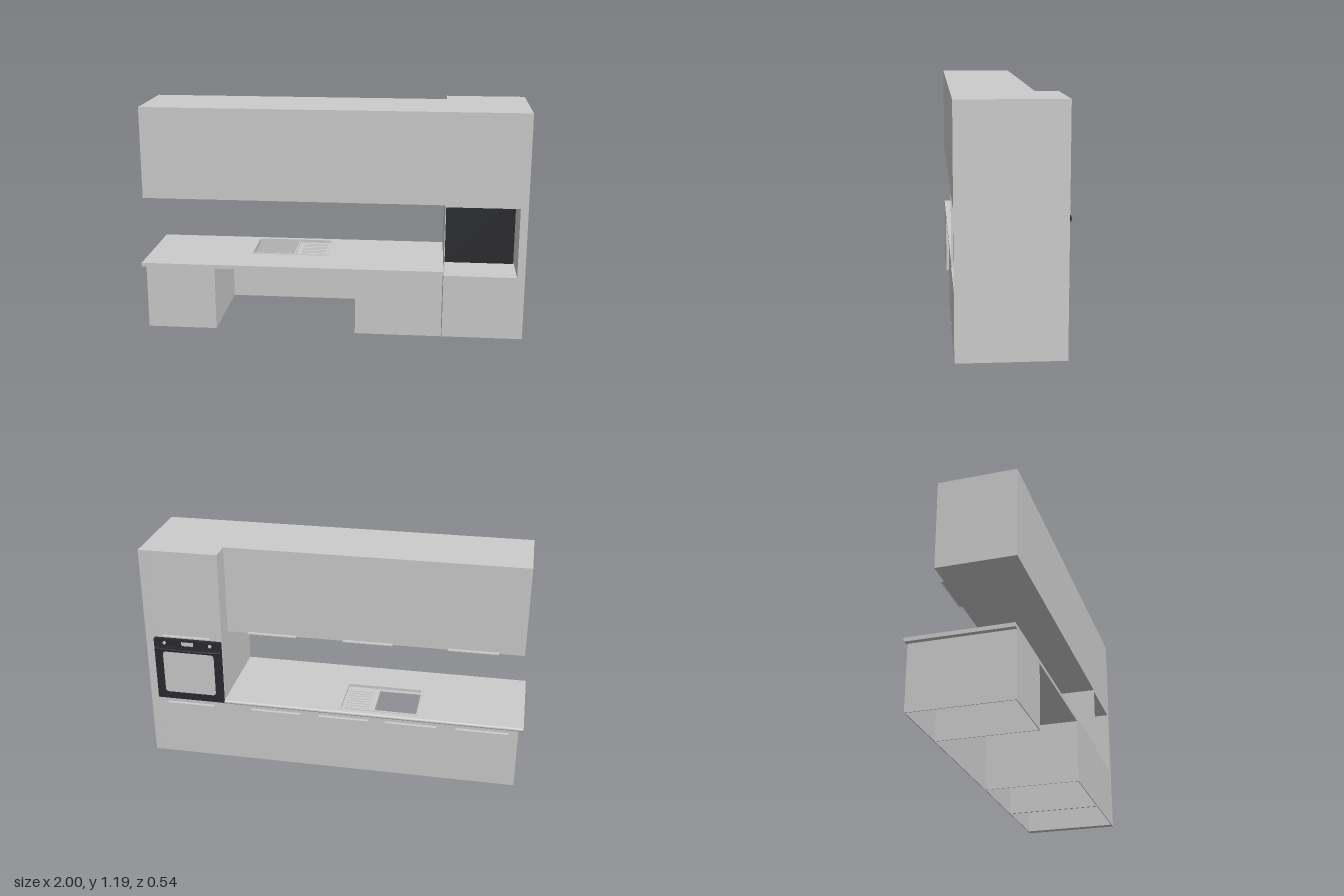
import * as THREE from 'three';

const grey = new THREE.MeshStandardMaterial({ color: 0xcccccc, side: THREE.DoubleSide });
const black = new THREE.MeshStandardMaterial({ color: 0x2a2b2f });

export function createModel() {
  const root = new THREE.Group();

  const add = (parent, name, geometry, material = grey) => {
    const mesh = new THREE.Mesh(geometry, material);
    mesh.name = name;
    parent.add(mesh);
    return mesh;
  };
  // Box given by its limits on each axis
  const box = (parent, name, x0, x1, y0, y1, z0, z1, material = grey) => {
    const mesh = add(parent, name, new THREE.BoxGeometry(x1 - x0, y1 - y0, z1 - z0), material);
    mesh.position.set((x0 + x1) / 2, (y0 + y1) / 2, (z0 + z1) / 2);
    return mesh;
  };
  const group = (name) => {
    const g = new THREE.Group();
    g.name = name;
    root.add(g);
    return g;
  };
  // Horizontal slab with a rectangular cut-out; rectangles are [x0, x1, z0, z1]
  const slab = (parent, name, outer, hole, y0, y1) => {
    const trace = (path, [x0, x1, z0, z1]) =>
      path.moveTo(x0, -z0).lineTo(x1, -z0).lineTo(x1, -z1).lineTo(x0, -z1).closePath();
    const shape = new THREE.Shape();
    trace(shape, outer);
    const cut = new THREE.Path();
    trace(cut, hole);
    shape.holes.push(cut);
    const geometry = new THREE.ExtrudeGeometry(shape, { depth: y1 - y0, bevelEnabled: false });
    geometry.rotateX(-Math.PI / 2).translate(0, y0, 0);
    return add(parent, name, geometry);
  };
  // Flat pull: a thin shelf with a small turned lip
  const pull = (parent, x0, x1, y, z) => {
    box(parent, 'pullShelf', x0, x1, y - 0.0015, y + 0.0015, z - 0.017, z);
    box(parent, 'pullLip', x0, x1, y - 0.004, y + 0.0015, z - 0.019, z - 0.016);
  };

  const back = 0.27, front = -0.243, t = 0.004;
  const counterY = 0.335, topY = 1.185, tallX = 0.585;

  // Base cabinets: open underneath, the middle bay also open at the rear
  const base = group('baseCabinets');
  box(base, 'doorFronts', -0.975, tallX, 0, counterY, front, front + t);
  box(base, 'endPanel', -0.975, -0.975 + t, 0, counterY, front + t, back);
  box(base, 'partitionRight', -0.61 - t, -0.61, 0, counterY, front + t, back);
  box(base, 'partitionLeft', 0.13, 0.13 + t, 0, counterY, front + t, back);
  box(base, 'partitionTall', tallX - 0.008, tallX - 0.004, 0, counterY, front + t, back);
  box(base, 'backPanelRight', -0.975 + t, -0.61 - t, 0, counterY, back - t, back);
  box(base, 'backPanelLeft', 0.13 + t, tallX - 0.004, 0, counterY, back - t, back);
  for (const x of [-0.925, -0.555, -0.195, 0.17]) pull(base, x, x + 0.27, 0.315, front);

  // Countertop with a rounded front edge
  const counter = group('countertop');
  slab(counter, 'worktop', [-1, tallX, -0.245, back], [-0.445, -0.04, -0.21, 0.05], counterY, 0.355);
  const edge = add(counter, 'roundedEdge',
    new THREE.CylinderGeometry(0.01, 0.01, tallX + 1, 16));
  edge.rotation.z = Math.PI / 2;
  edge.position.set((tallX - 1) / 2, 0.345, -0.245);

  // Sink: rim, open basin and ribbed drainer
  const sink = group('sink');
  slab(sink, 'rim', [-0.452, -0.032, -0.22, 0.06], [-0.443, -0.042, -0.209, 0.049], 0.354, 0.358);
  slab(sink, 'innerWall', [-0.445, -0.04, -0.211, 0.051], [-0.443, -0.042, -0.209, 0.049], 0.333, 0.357);
  box(sink, 'drainer', -0.215, -0.042, 0.338, 0.342, -0.209, 0.049);
  box(sink, 'basinBackLedge', -0.443, -0.215, 0.338, 0.342, 0.03, 0.049);
  box(sink, 'basinDivider', -0.22, -0.213, 0.334, 0.35, -0.209, 0.049);
  for (let i = 0; i < 8; i++) {
    const z = -0.18 + i * 0.026;
    box(sink, 'drainerRib', -0.185, -0.055, 0.342, 0.345, z - 0.004, z + 0.004);
  }

  // Wall cabinets
  const wall = group('wallCabinets');
  box(wall, 'wallCabinetBody', -0.975, tallX, 0.71, topY, -0.13, back);
  for (const x of [-0.845, -0.3, 0.21]) pull(wall, x, x + 0.26, 0.715, -0.13);

  // Tall cabinet with a rear-open oven niche and an open underside
  const tall = group('tallCabinet');
  box(tall, 'thickSidePanel', 0.96, 1, 0, topY, -0.245, back);
  box(tall, 'innerSidePanel', tallX, tallX + t, 0, topY, front + t, back);
  box(tall, 'upperBody', tallX, 0.96, 0.7, topY, front, back);
  box(tall, 'lowerDoor', tallX, 0.96, 0, counterY, front, front + t);
  box(tall, 'lowerBack', tallX, 0.96, 0, counterY, back - t, back);
  box(tall, 'nicheFloor', tallX, 0.96, counterY - t, counterY, front, back);
  for (const y of [0.315, 0.715]) pull(tall, 0.645, 0.905, y, front);

  // Built-in oven
  const oven = group('oven');
  box(oven, 'ovenBody', 0.592, 0.957, counterY, 0.69, -0.24, 0.046, black);
  box(oven, 'ovenDoor', 0.588, 0.958, 0.337, 0.642, -0.248, -0.24, black);
  box(oven, 'controlPanel', 0.588, 0.958, 0.647, 0.692, -0.248, -0.24, black);
  box(oven, 'display', 0.742, 0.806, 0.66, 0.682, -0.249, -0.247);
  for (const x of [0.65, 0.9]) {
    const knob = add(oven, 'knob', new THREE.CylinderGeometry(0.009, 0.009, 0.006, 20));
    knob.rotation.x = Math.PI / 2;
    knob.position.set(x, 0.671, -0.25);
  }

  // Rounded door glass
  const w = 0.14, h = 0.12, r = 0.02;
  const pane = new THREE.Shape();
  pane.moveTo(-w + r, -h).lineTo(w - r, -h).quadraticCurveTo(w, -h, w, -h + r);
  pane.lineTo(w, h - r).quadraticCurveTo(w, h, w - r, h);
  pane.lineTo(-w + r, h).quadraticCurveTo(-w, h, -w, h - r);
  pane.lineTo(-w, -h + r).quadraticCurveTo(-w, -h, -w + r, -h);
  const glass = add(oven, 'doorGlass',
    new THREE.ExtrudeGeometry(pane, { depth: 0.002, bevelEnabled: false }));
  glass.position.set(0.773, 0.498, -0.249);

  // Gently bowed oven handle on two posts
  const bow = new THREE.CatmullRomCurve3([
    new THREE.Vector3(0.594, 0.638, -0.257),
    new THREE.Vector3(0.68, 0.638, -0.264),
    new THREE.Vector3(0.773, 0.638, -0.267),
    new THREE.Vector3(0.866, 0.638, -0.264),
    new THREE.Vector3(0.952, 0.638, -0.257),
  ]);
  add(oven, 'ovenHandle', new THREE.TubeGeometry(bow, 32, 0.006, 12), black);
  for (const x of [0.605, 0.941]) {
    box(oven, 'handlePost', x - 0.008, x + 0.008, 0.633, 0.643, -0.258, -0.246, black);
  }

  return root;
}
